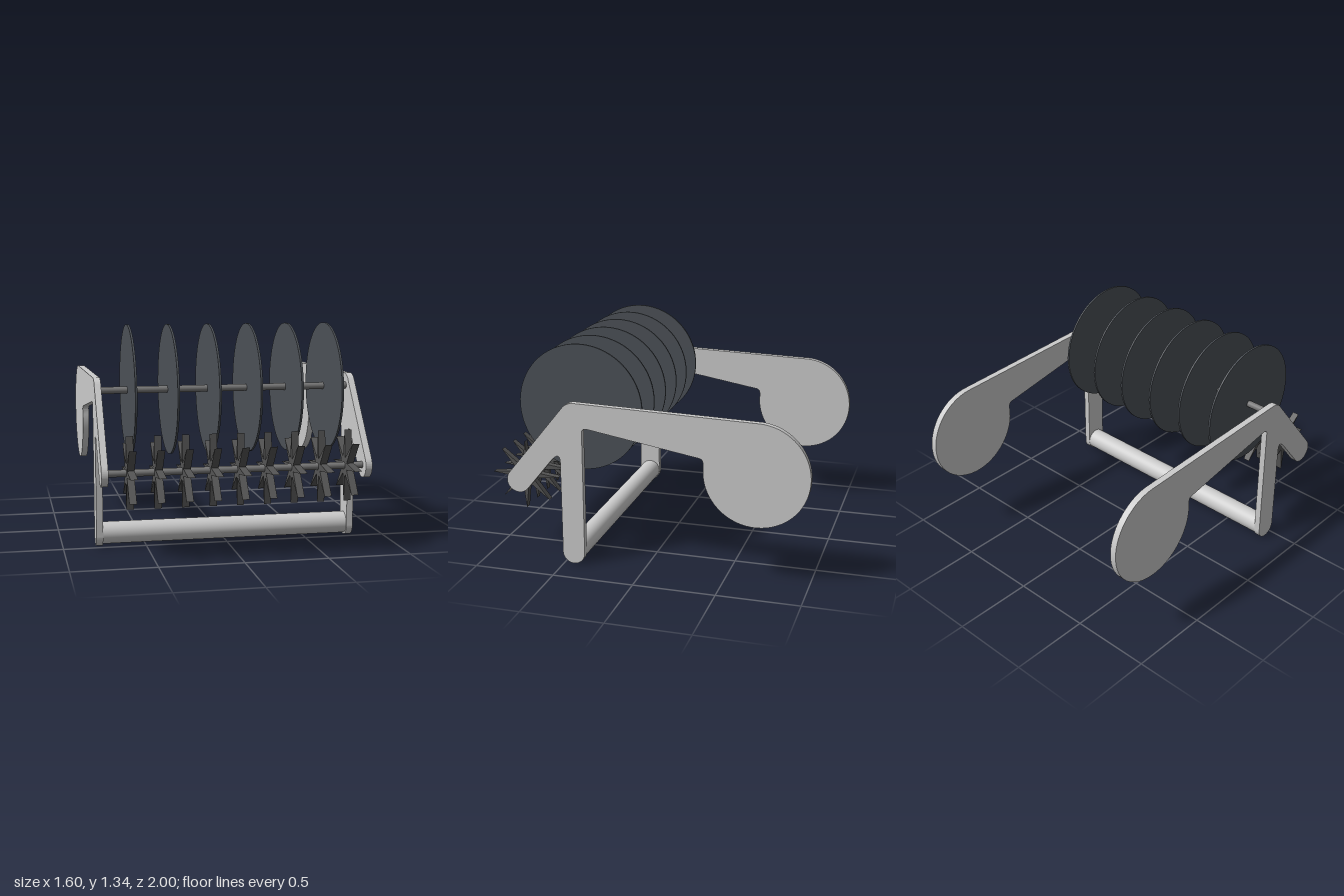
import * as THREE from 'three';
import { toCreasedNormals } from 'three/addons/utils/BufferGeometryUtils.js';

const paint = (color) => new THREE.MeshStandardMaterial({ color });
const frameMat = paint(0xcccccc);
const axleMat = paint(0x777777);
const discMat = paint(0x4c5157);
const spikeMat = paint(0x555555);

const DISC_AXIS = { y: 0.945, z: 0.44 };
const SPIKE_AXIS = { y: 0.505, z: 0.785 };

// Extrudes a side profile (drawn in z, y) to a width centred on x = 0
function extrudeSide(shape, width) {
  const geo = new THREE.ExtrudeGeometry(shape, { depth: width, bevelEnabled: false, curveSegments: 32 });
  geo.translate(0, 0, -width / 2).rotateY(-Math.PI / 2);
  return toCreasedNormals(geo, 0.5);
}

// Cylinder lying along x
function rod(name, radius, length, { y, z }, material, segments = 32) {
  const geo = new THREE.CylinderGeometry(radius, radius, length, segments).rotateZ(Math.PI / 2);
  const mesh = new THREE.Mesh(geo, material);
  mesh.name = name;
  mesh.position.set(0, y, z);
  return mesh;
}

// Side plate: front arm, upright leg and rear arm with a round paddle
function plateShape() {
  const s = new THREE.Shape();
  const a = Math.atan2(0.63, 0.777);
  s.absarc(SPIKE_AXIS.z, SPIKE_AXIS.y, 0.075, a, a - Math.PI, true);
  s.lineTo(0.575, 0.645);
  s.quadraticCurveTo(0.51, 0.725, 0.51, 0.64);
  s.absarc(0.44, 0.07, 0.07, 0, -Math.PI, true);
  s.lineTo(0.37, 0.84);
  s.quadraticCurveTo(0.37, 0.872, 0.335, 0.867);
  s.lineTo(-0.345, 0.752);
  s.quadraticCurveTo(-0.37, 0.748, -0.37, 0.725);
  s.absarc(-0.685, 0.675, 0.315, 0.12, 1.555, true);
  s.lineTo(0.42, 1.02);
  s.quadraticCurveTo(0.467, 1.018, 0.492, 0.985);
  s.closePath();
  return s;
}

// Eight-pointed star
function starShape(outer, inner, points) {
  const s = new THREE.Shape();
  for (let i = 0; i < points * 2; i++) {
    const r = i % 2 ? inner : outer;
    const t = (i * Math.PI) / points;
    s[i ? 'lineTo' : 'moveTo'](r * Math.cos(t), r * Math.sin(t));
  }
  s.closePath();
  return s;
}

export function createModel() {
  const model = new THREE.Group();
  model.name = 'discAndSpikeRoller';

  // Mirrored side plates
  const plateGeo = extrudeSide(plateShape(), 0.04);
  for (const [name, side] of [['leftPlate', 1], ['rightPlate', -1]]) {
    const plate = new THREE.Mesh(plateGeo, frameMat);
    plate.name = name;
    plate.position.x = side * 0.782;
    model.add(plate);
  }

  // Cross bar and the two axles between the plates
  model.add(
    rod('crossBar', 0.067, 1.53, { y: 0.077, z: 0.437 }, frameMat, 48),
    rod('discAxle', 0.021, 1.53, DISC_AXIS, axleMat),
    rod('spikeAxle', 0.021, 1.53, SPIKE_AXIS, axleMat)
  );

  // Row of thin discs
  const discs = new THREE.Group();
  discs.name = 'discs';
  for (let i = 0; i < 6; i++) {
    const disc = rod('disc', 0.39, 0.012, DISC_AXIS, discMat, 96);
    disc.position.x = -0.595 + i * 0.2436;
    discs.add(disc);
  }
  model.add(discs);

  // Row of spiked wheels
  const wheels = new THREE.Group();
  wheels.name = 'spikeWheels';
  const starGeo = extrudeSide(starShape(0.214, 0.053, 8), 0.043);
  for (let i = 0; i < 9; i++) {
    const wheel = new THREE.Mesh(starGeo, spikeMat);
    wheel.name = 'spikeWheel';
    wheel.position.set(-0.632 + i * 0.163, SPIKE_AXIS.y, SPIKE_AXIS.z);
    wheels.add(wheel);
  }
  model.add(wheels);

  return model;
}
